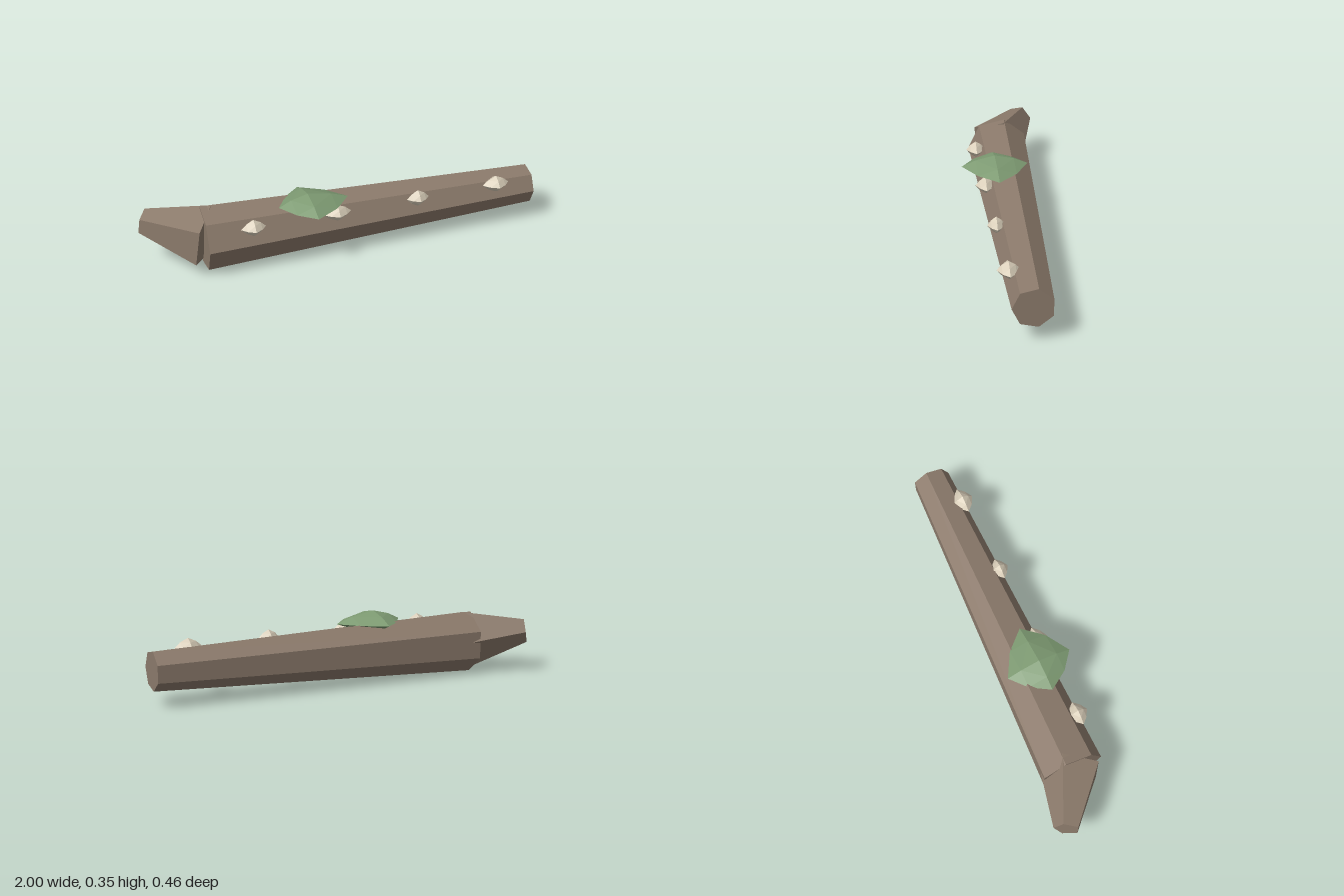
import * as THREE from 'three';

const mat = (color) => new THREE.MeshStandardMaterial({ color, flatShading: true });

// Tapered prism from a to b; one corner of its section points along ref
function taperedLimb(name, a, b, ra, rb, sides, ref, material) {
  const axis = b.clone().sub(a);
  const mesh = new THREE.Mesh(new THREE.CylinderGeometry(rb, ra, axis.length(), sides), material);
  const y = axis.normalize();
  const z = ref.clone().addScaledVector(y, -ref.dot(y)).normalize();
  const x = new THREE.Vector3().crossVectors(y, z);
  mesh.quaternion.setFromRotationMatrix(new THREE.Matrix4().makeBasis(x, y, z));
  mesh.position.copy(a).add(b).multiplyScalar(0.5);
  mesh.name = name;
  return mesh;
}

// Peaked, faceted clump: an octahedron whose edge midpoints are pulled inwards
function clump(name, position, [left, right], ry, rz, material) {
  const geo = new THREE.OctahedronGeometry(1, 1);
  const p = geo.attributes.position;
  const v = new THREE.Vector3();
  for (let i = 0; i < p.count; i++) {
    v.fromBufferAttribute(p, i);
    const isMidpoint = Math.max(Math.abs(v.x), Math.abs(v.y), Math.abs(v.z)) < 0.9;
    if (isMidpoint) v.multiplyScalar(0.82);
    p.setXYZ(i, v.x * (v.x > 0 ? right : left), v.y * ry, v.z * rz);
  }
  geo.computeVertexNormals();
  const mesh = new THREE.Mesh(geo, material);
  mesh.position.set(...position);
  mesh.name = name;
  return mesh;
}

export function createModel() {
  const group = new THREE.Group();
  group.name = 'fallenLog';
  const bark = mat(0x8b7a6b);
  const moss = mat(0x7d9a72);
  const fungus = mat(0xd8cdb8);
  const V = (x, y, z) => new THREE.Vector3(x, y, z);

  // Trunk and the broken stub at its thick end
  group.add(taperedLimb('trunk', V(-0.712, 0.158, -0.021), V(0.996, 0.175, 0.041),
    0.16, 0.098, 7, V(0, 0, 1), bark));
  group.add(taperedLimb('brokenStub', V(-0.7, 0.168, -0.016), V(-0.971, 0.215, -0.181),
    0.157, 0.064, 5, V(0.548, 0, -0.837), bark));

  // Moss patch on top
  group.add(clump('mossPatch', [-0.2, 0.296, 0.06], [0.147, 0.207], 0.052, 0.168, moss));

  // Row of small fungi along the front
  const fungi = [
    [-0.495, 0.25, 0.062, 0.05],
    [-0.07, 0.25, 0.071, 0.05],
    [0.355, 0.25, 0.058, 0.044],
    [0.78, 0.251, 0.07, 0.054],
  ];
  fungi.forEach(([x, y, rx, rz], i) => {
    group.add(clump(`fungus${i + 1}`, [x, y, 0.123], [rx, rx], 0.044, rz, fungus));
  });

  return group;
}
